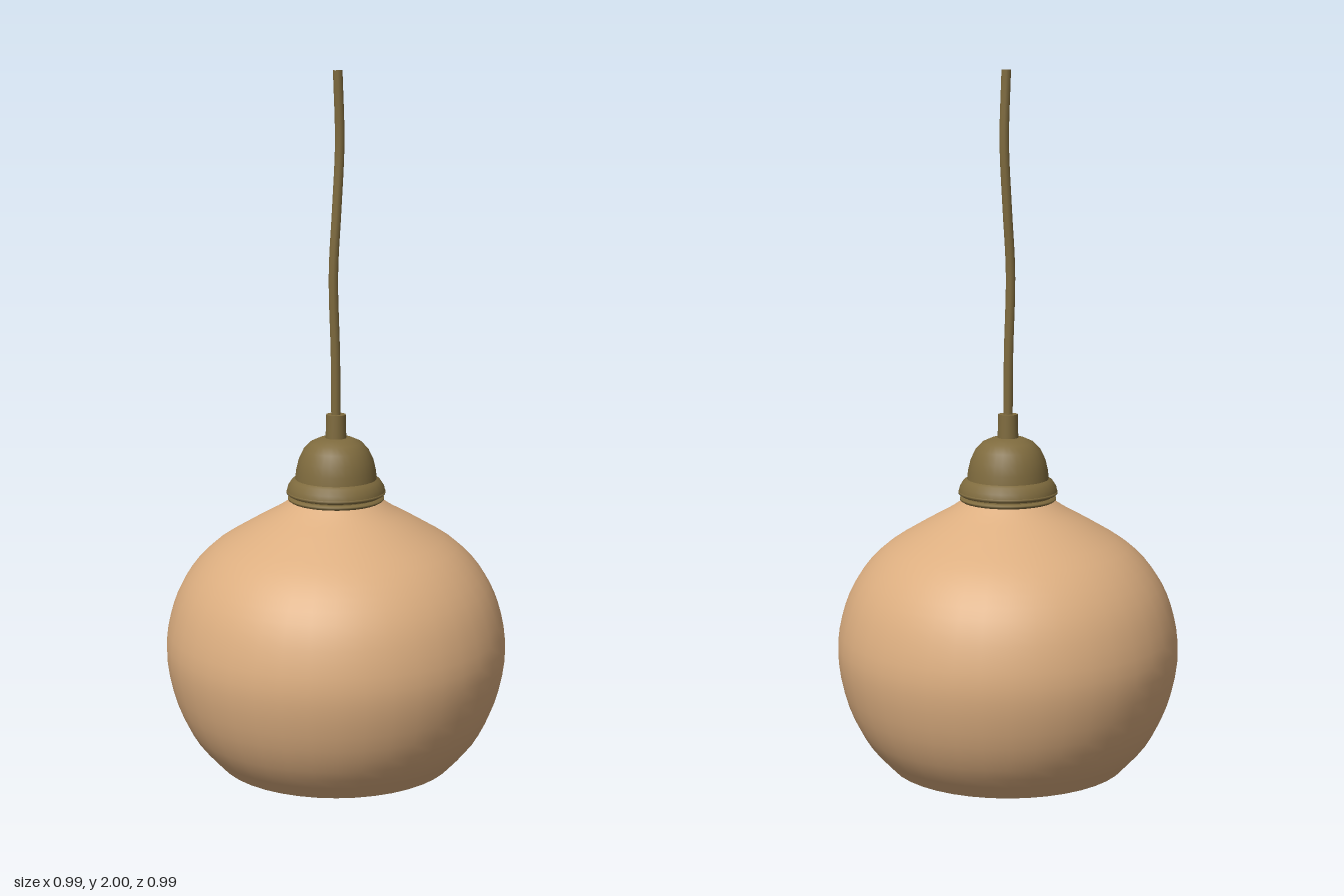
import * as THREE from 'three';

export function createModel() {
  const group = new THREE.Group();
  const shadeMat = new THREE.MeshStandardMaterial({ color: 0xdcae80 });
  shadeMat.name = 'warm tan';
  const brassMat = new THREE.MeshStandardMaterial({ color: 0x7f6b3e });
  brassMat.name = 'aged brass';

  const add = (name, geometry, material) => {
    const mesh = new THREE.Mesh(geometry, material);
    mesh.name = name;
    group.add(mesh);
    return mesh;
  };
  const points = (list) => list.map(([r, y]) => new THREE.Vector2(r, y));
  const lathe = (list, sides) => new THREE.LatheGeometry(points(list), sides);

  // Globe shade: smooth profile from the bottom rim up to the neck
  const profile = new THREE.SplineCurve(points([
    [0.345, 0], [0.415, 0.08], [0.468, 0.19], [0.495, 0.33], [0.478, 0.45],
    [0.435, 0.55], [0.36, 0.635], [0.25, 0.705], [0.17, 0.75], [0.12, 0.785],
  ])).getPoints(28);
  add('shade', new THREE.LatheGeometry(profile, 40), shadeMat);

  // Flat disc closing the bottom of the shade
  const base = new THREE.CircleGeometry(0.345, 40);
  base.rotateX(Math.PI / 2);
  add('shadeBottom', base, shadeMat);

  // Two collar rings clamping the neck
  const ring = (y0, y1, r) => lathe([
    [0.1, y0], [r - 0.006, y0], [r - 0.006, y0], [r, y0 + 0.004],
    [r, y1 - 0.004], [r - 0.01, y1], [r - 0.01, y1], [0.1, y1],
  ], 32);
  add('lowerCollarRing', ring(0.776, 0.789, 0.139), brassMat);
  add('collarNeck', new THREE.CylinderGeometry(0.128, 0.128, 0.02, 32).translate(0, 0.793, 0), brassMat);
  add('upperCollarRing', ring(0.794, 0.808, 0.143), brassMat);

  // Flared skirt and dome of the lamp holder
  add('holderSkirt', lathe([
    [0.142, 0.803], [0.139, 0.818], [0.128, 0.835], [0.115, 0.842],
  ], 32), brassMat);
  add('holderDome', lathe([
    [0.118, 0.838], [0.115, 0.865], [0.108, 0.895], [0.094, 0.925],
    [0.074, 0.946], [0.048, 0.958], [0, 0.962],
  ], 32), brassMat);

  // Cord grip
  add('cordGrip', new THREE.CylinderGeometry(0.028, 0.03, 0.075, 20).translate(0, 0.99, 0), brassMat);

  // Slightly wavy hanging cord with a closed top end
  const path = new THREE.CatmullRomCurve3([
    [0, 1.0], [-0.002, 1.2], [-0.009, 1.43], [0.003, 1.62], [0.013, 1.8], [0.006, 2.0],
  ].map(([x, y]) => new THREE.Vector3(x, y, 0)));
  add('cord', new THREE.TubeGeometry(path, 24, 0.014, 10), brassMat);
  const end = new THREE.CircleGeometry(0.014, 10);
  end.rotateX(-Math.PI / 2).translate(0.006, 2.0, 0);
  add('cordEnd', end, brassMat);

  return group;
}
